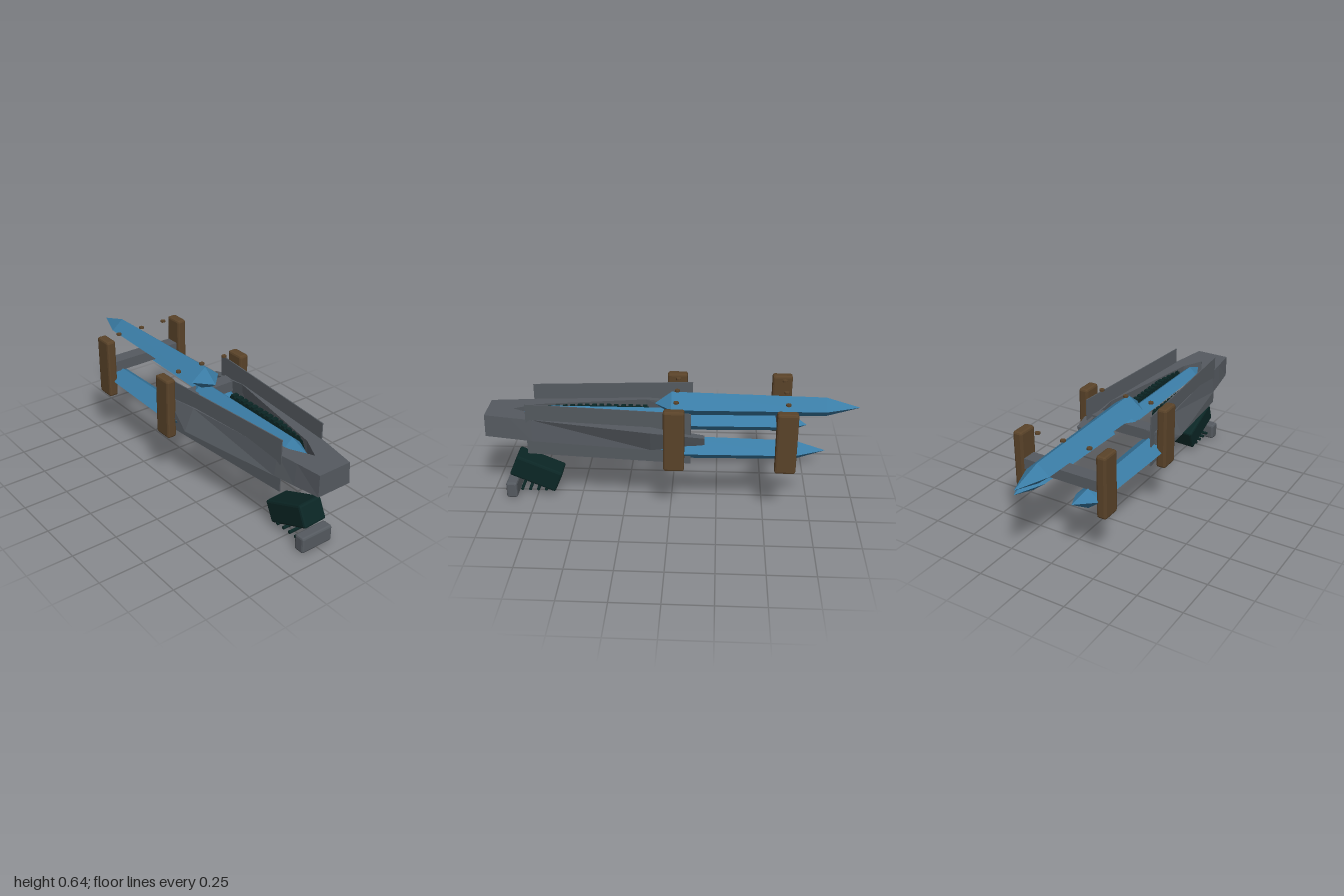
import * as THREE from 'three';
import { RoundedBoxGeometry } from 'three/addons/geometries/RoundedBoxGeometry.js';

const flat = (color, name, side = THREE.FrontSide) =>
  new THREE.MeshStandardMaterial({ color, name, side, flatShading: true });

// Skin rings of [x, y, z] points, listed front to back, each counter-clockwise seen from the front
function loft(rings) {
  const n = rings[0].length, pos = [];
  const tri = (a, b, c) => pos.push(...a, ...b, ...c);
  for (let s = 0; s < rings.length - 1; s++) {
    const a = rings[s], b = rings[s + 1];
    for (let i = 0; i < n; i++) {
      const j = (i + 1) % n;
      tri(a[i], b[i], a[j]);
      tri(a[j], b[i], b[j]);
    }
  }
  const f = rings[0], l = rings[rings.length - 1];
  for (let i = 1; i < n - 1; i++) {
    tri(f[0], f[i], f[i + 1]);
    tri(l[0], l[i + 1], l[i]);
  }
  const g = new THREE.BufferGeometry();
  g.setAttribute('position', new THREE.Float32BufferAttribute(pos, 3));
  g.computeVertexNormals();
  return g;
}

// Diamond-section crystal from [z, centreX, centreY, halfWidth, halfHeight]
const crystal = (stations) => loft(stations.map(([z, x, y, w, h]) =>
  [[x + w, y, z], [x, y + h, z], [x - w, y, z], [x, y - h, z]]));

// Body arm from [z, innerBottom, outerBottom, outerTop, innerTop, yBottom, yTop]
const arm = (stations, side) => loft(stations.map(([z, ib, ob, ot, it, yb, yt]) => {
  const ring = [[side * ib, yb, z], [side * ob, yb, z], [side * ot, yt, z], [side * it, yt, z]];
  return side > 0 ? ring : ring.reverse();
}));

export function createModel() {
  const model = new THREE.Group();
  const grey = flat(0x555a60, 'grey metal');
  const blue = flat(0x3a7ca5, 'blue crystal');
  const brown = flat(0x5a4329, 'brown wood');
  const green = flat(0x0b2625, 'dark green');

  const add = (name, geo, mat, x = 0, y = 0, z = 0) => {
    const m = new THREE.Mesh(geo, mat);
    m.name = name;
    m.position.set(x, y, z);
    model.add(m);
    return m;
  };
  const box = (w, h, d) => new THREE.BoxGeometry(w, h, d);

  // Forked body: the two arms meet in a blunt nose
  add('leftArm', arm([
    [1, 0, 0.1, 0.09, 0, 0.39, 0.51],
    [0.86, 0, 0.125, 0.115, 0, 0.39, 0.51],
    [0.74, 0.07, 0.147, 0.135, 0.06, 0.39, 0.51],
    [0.1, 0.185, 0.215, 0.257, 0.175, 0.39, 0.51],
    [-0.18, 0.178, 0.2, 0.215, 0.178, 0.42, 0.465]], 1), grey);
  add('rightArm', arm([
    [1, 0, 0.1, 0.1, 0, 0.39, 0.51],
    [0.86, 0, 0.125, 0.115, 0, 0.39, 0.51],
    [0.74, 0.07, 0.145, 0.13, 0.06, 0.39, 0.51],
    [0.15, 0.165, 0.245, 0.19, 0.15, 0.39, 0.51],
    [-0.07, 0.15, 0.21, 0.2, 0.15, 0.42, 0.49]], -1), grey);

  // Tall side plates, splayed towards the rear, and dark rails with ridged tops
  for (const s of [1, -1]) {
    const plate = add('sidePlate', box(0.006, 0.29, 0.88), grey, s * 0.164, 0.453, 0.33);
    plate.rotation.y = -s * Math.atan2(0.07, 0.88);
    add('rail', box(0.034, 0.08, 0.69), green, s * 0.086, 0.45, 0.475);
    for (let i = 0; i < 17; i++)
      add('railRidge', box(0.034, 0.012, 0.024), green, s * 0.086, 0.495, 0.15 + i * 0.04);
  }

  // Crystals
  add('upperCrystal', crystal([
    [0.09, 0, 0.56, 0.001, 0.001], [0, 0, 0.562, 0.088, 0.068],
    [-0.82, 0, 0.56, 0.068, 0.055], [-1, 0, 0.56, 0.001, 0.001]]), blue);
  add('frontBlade', crystal([
    [0.81, 0, 0.49, 0.001, 0.001], [0.7, 0, 0.49, 0.05, 0.042],
    [-0.02, 0, 0.49, 0.055, 0.045], [-0.08, 0, 0.49, 0.001, 0.001]]), blue);
  add('leftCrystal', crystal([
    [0.08, 0.165, 0.385, 0.001, 0.001], [-0.02, 0.16, 0.385, 0.085, 0.066],
    [-0.65, 0.163, 0.385, 0.07, 0.055], [-0.81, 0.16, 0.385, 0.001, 0.001]]), blue);
  add('rightCrystal', crystal([
    [0.08, -0.165, 0.385, 0.001, 0.001], [-0.02, -0.165, 0.385, 0.085, 0.066],
    [-0.65, -0.165, 0.385, 0.072, 0.055], [-0.74, -0.13, 0.385, 0.001, 0.001]]), blue);

  // Two frames: wooden posts, a crossbar and a row of studs
  for (const z of [-0.022, -0.602]) {
    for (const s of [1, -1])
      add('post', new RoundedBoxGeometry(0.055, 0.342, 0.11, 1, 0.012), brown, s * 0.242, 0.465, z);
    add('crossbar', box(0.44, 0.06, 0.08), grey, 0, 0.463, z - 0.005);
    for (const x of [-0.153, 0, 0.15])
      add('stud', new THREE.CylinderGeometry(0.014, 0.014, 0.01, 8), brown, x, 0.637, z - 0.008);
  }

  // Trigger guard ring and trigger
  const profile = [[0.08, 0], [0.112, 0], [0.112, 0.031], [0.08, 0.031], [0.08, 0]]
    .map(([r, y]) => new THREE.Vector2(r, y));
  add('guardRing', new THREE.LatheGeometry(profile, 8, Math.PI / 8), grey, 0, 0.291, 0.55);
  add('trigger', new RoundedBoxGeometry(0.024, 0.088, 0.02, 1, 0.006), brown, 0, 0.298, 0.47);

  // Hanging grip block, cap and the pins between them
  const grip = add('gripBlock', new RoundedBoxGeometry(0.142, 0.125, 0.27, 1, 0.012), green, 0, 0.137, 0.75);
  grip.rotation.set(-0.4, 0, 0.04);
  add('gripCap', new RoundedBoxGeometry(0.195, 0.092, 0.062, 1, 0.011), grey, 0, 0.048, 0.887);
  for (let i = 0; i < 4; i++) {
    const pin = add('pin', new THREE.CylinderGeometry(0.009, 0.009, 0.14, 8), green, 0, 0.046, 0.832 - i * 0.045);
    pin.rotation.z = Math.PI / 2;
  }
  return model;
}
